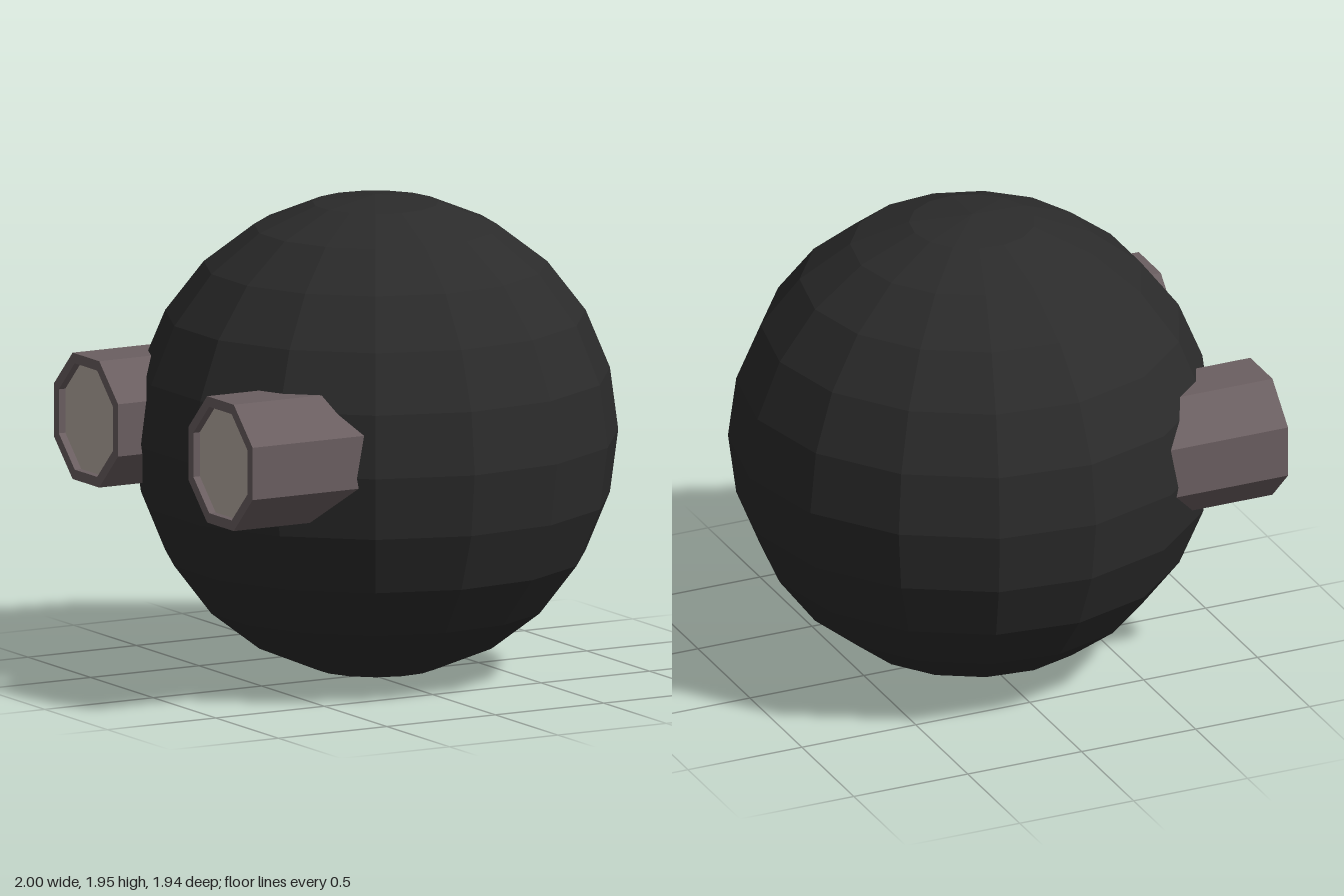
import * as THREE from 'three';

const material = (name, color) => {
  const m = new THREE.MeshStandardMaterial({ color, flatShading: true });
  m.name = name;
  return m;
};

export function createModel() {
  const group = new THREE.Group();
  const charcoal = material('charcoal', 0x2b2b2b);
  const mauve = material('mauveGrey', 0x6b5f61);
  const pale = material('paleGrey', 0xb8aca4);

  const add = (name, geometry, mat, parent = group) => {
    const mesh = new THREE.Mesh(geometry, mat);
    mesh.name = name;
    parent.add(mesh);
    return mesh;
  };

  // Faceted ball: 15 sides, one corner on +x
  const R = 0.975;
  add('ball', new THREE.SphereGeometry(R, 15, 12, Math.PI), charcoal).position.set(0.025, R, 0);

  // Octagonal tube: outer wall, flat rim, shallow recess (local +y points outwards)
  const outer = 0.278, inner = 0.234, depth = 0.03, length = 0.7;
  const profile = [[0, 0], [outer, 0], [outer, length], [inner, length], [inner, length - depth]]
    .map(([x, y]) => new THREE.Vector2(x, y));
  const tubeGeometry = new THREE.LatheGeometry(profile, 8, Math.PI / 8);
  const panelGeometry = new THREE.CircleGeometry(inner, 8, Math.PI / 8).rotateX(-Math.PI / 2);

  for (const side of [-1, 1]) {
    const peg = new THREE.Group();
    peg.name = side > 0 ? 'frontPeg' : 'backPeg';
    peg.position.set(-1 + length, 1.04, side * 0.537);
    peg.rotation.z = Math.PI / 2;
    add('tube', tubeGeometry, mauve, peg);
    add('endPanel', panelGeometry, pale, peg).position.y = length - depth;
    group.add(peg);
  }
  return group;
}
